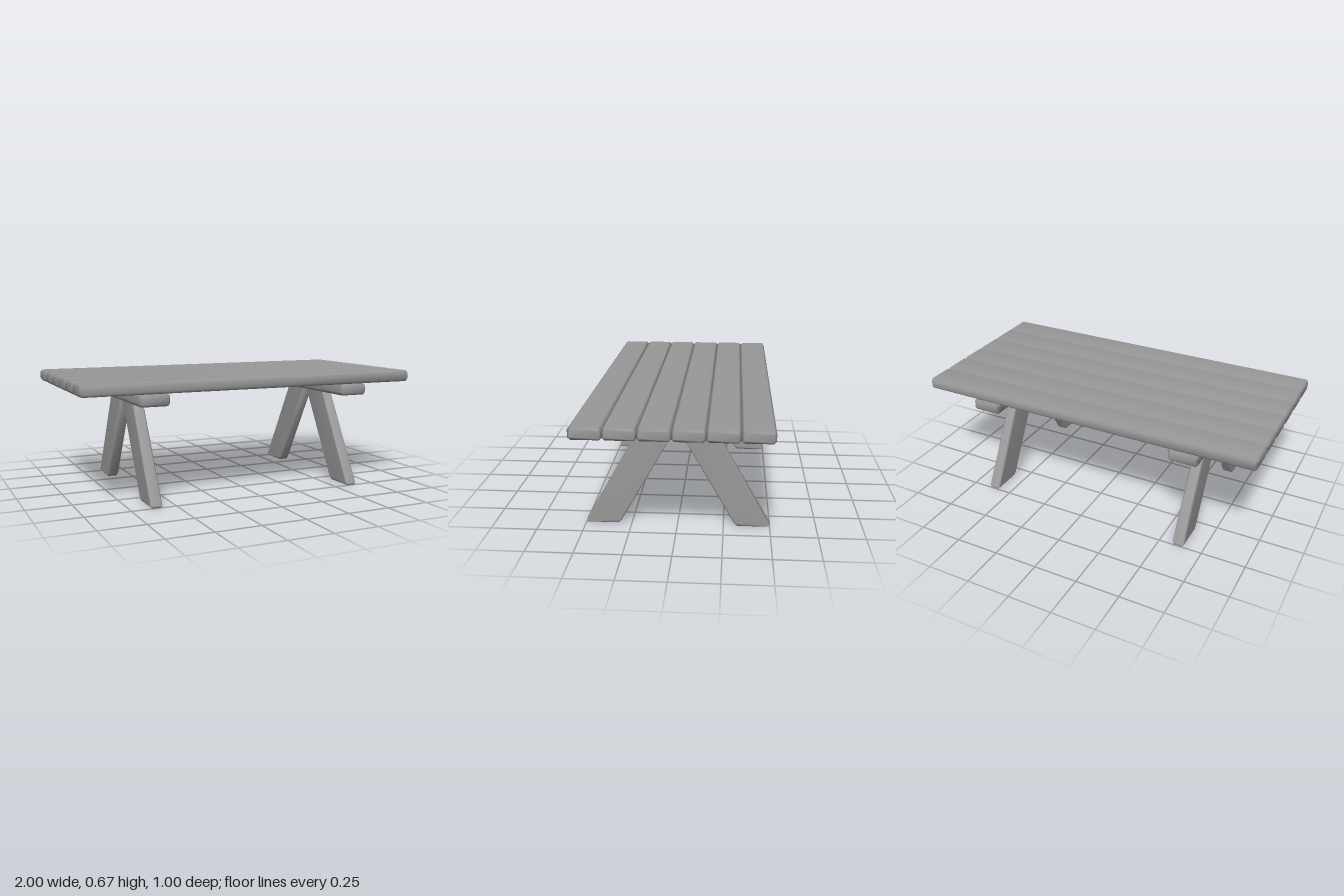
import * as THREE from 'three';
import { mergeVertices } from 'three/addons/utils/BufferGeometryUtils.js';

const material = new THREE.MeshStandardMaterial({ color: 0x999999 });

// Board with chamfered edges: a (z, y) outline extruded along x, softly shaded
function board(name, outline, length, bevel) {
  const shape = new THREE.Shape(outline.map(([z, y]) => new THREE.Vector2(z, y)));
  let geo = new THREE.ExtrudeGeometry(shape, {
    depth: length - 2 * bevel, bevelEnabled: true, bevelSegments: 1,
    bevelThickness: bevel, bevelSize: bevel, bevelOffset: -bevel,
  });
  geo.translate(0, 0, bevel - length / 2);
  geo.rotateY(-Math.PI / 2);
  geo.deleteAttribute('uv');
  geo.deleteAttribute('normal');
  geo = mergeVertices(geo, 1e-5);
  geo.computeVertexNormals();
  const mesh = new THREE.Mesh(geo, material);
  mesh.name = name;
  return mesh;
}

// Rectangle centred on z = 0 with cut corners
function cutRect(width, y0, y1, c) {
  const w = width / 2;
  return [[-w + c, y0], [w - c, y0], [w, y0 + c], [w, y1 - c],
    [w - c, y1], [-w + c, y1], [-w, y1 - c], [-w, y0 + c]];
}

export function createModel() {
  const table = new THREE.Group();
  table.name = 'picnicTable';

  // Table top: six planks side by side
  const top = new THREE.Group();
  top.name = 'tableTop';
  for (let i = 0; i < 6; i++) {
    const plank = board('plank', cutRect(0.166, 0.602, 0.667, 0.013), 2, 0.01);
    plank.position.z = 0.4165 - i * 0.1664;
    top.add(plank);
  }
  table.add(top);

  // Two trestles: a crossbeam on a pair of splayed legs
  const legOutline = [[0.493, 0], [0.5, 0.012], [0.195, 0.55],
    [0.005, 0.55], [0.308, 0.014], [0.326, 0]];
  for (const side of [-1, 1]) {
    const trestle = new THREE.Group();
    trestle.name = side > 0 ? 'leftTrestle' : 'rightTrestle';
    trestle.add(board('crossbeam', cutRect(1, 0.536, 0.602, 0.013), 0.165, 0.01));
    const frontLeg = board('frontLeg', legOutline, 0.065, 0.008);
    const backLeg = board('backLeg', legOutline, 0.065, 0.008);
    backLeg.rotation.y = Math.PI;
    trestle.add(frontLeg, backLeg);
    trestle.position.x = side * 0.61;
    table.add(trestle);
  }
  return table;
}
